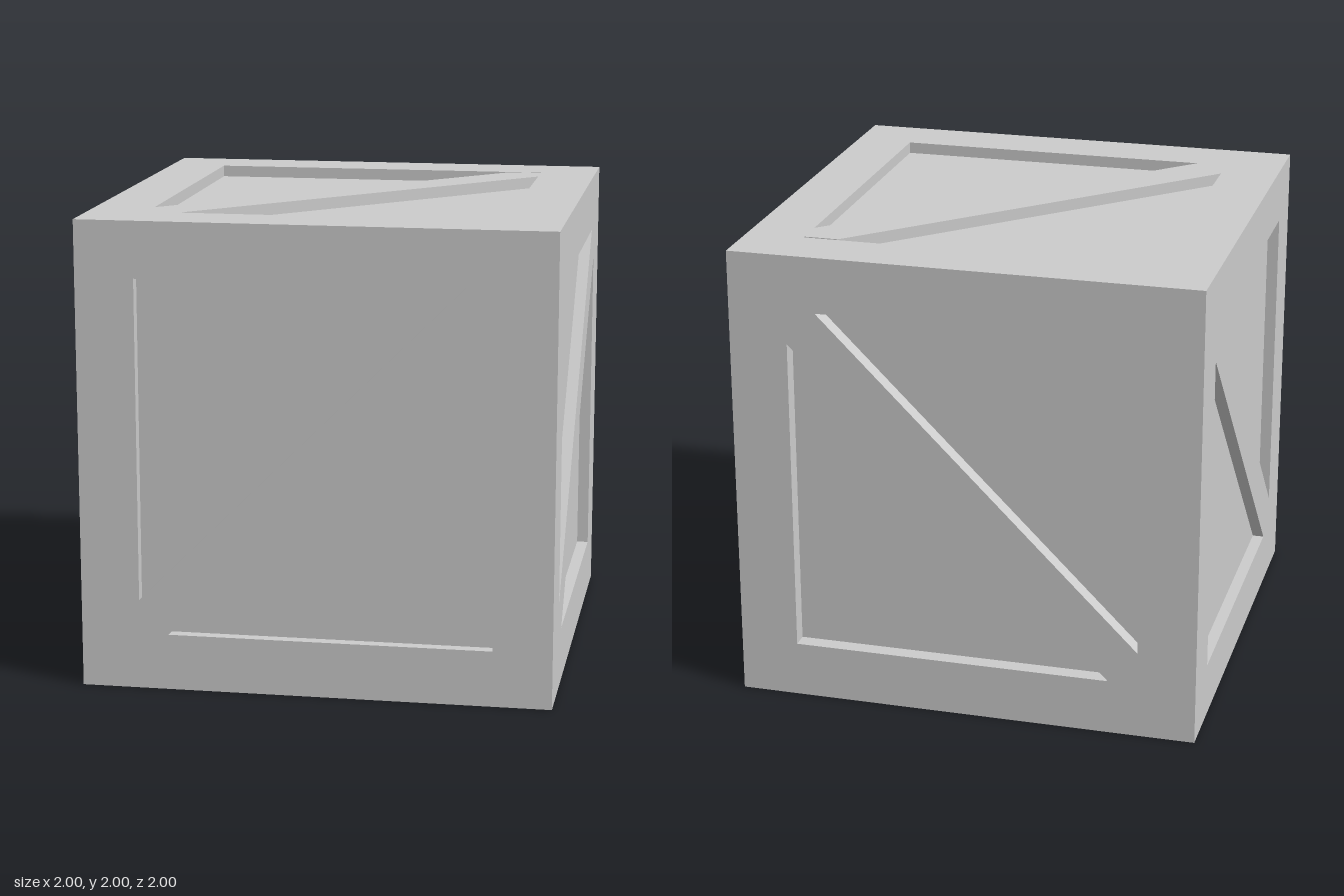
import * as THREE from 'three';

const material = new THREE.MeshStandardMaterial({ color: 0xcccccc, flatShading: true });

// Each side of the crate: rotation, recess depth, brace direction (1 rises to the right), half height of the opening
const SIDES = [
  { name: 'front', rot: [0, 0, 0], depth: 0.05, lean: 1, half: 0.76 },
  { name: 'left', rot: [0, Math.PI / 2, 0], depth: 0.05, lean: 1, half: 0.76 },
  { name: 'back', rot: [0, Math.PI, 0], depth: 0.07, lean: -1, half: 0.76 },
  { name: 'right', rot: [0, -Math.PI / 2, 0], depth: 0.05, lean: -1, half: 0.76 },
  { name: 'top', rot: [-Math.PI / 2, 0, 0], depth: 0.05, lean: 1, half: 0.75, gap: 0.01 },
  { name: 'bottom', rot: [Math.PI / 2, 0, 0], depth: 0.035, lean: -1, half: 0.75 },
];

function polygon(points, lean, Type) {
  return new Type(points.map(([u, v]) => new THREE.Vector2(u * lean, v)));
}

// Square frame with a diagonal brace, cut as two triangular openings
function braceFrame({ depth, lean, half, gap = 0 }) {
  const a = 0.75, b = half, o = 0.135;
  const upper = [[-a, b], [b - gap - o, b - gap], [-a, o - a]];
  if (gap) upper.splice(1, 0, [a, b], [a, b - gap]); // the brace stops just short of the frame
  const lower = [[a, -b], [a, a - o], [o - b, -b]];

  const shape = polygon([[-1, -1], [1, -1], [1, 1], [-1, 1]], 1, THREE.Shape);
  shape.holes.push(polygon(upper, lean, THREE.Path), polygon(lower, lean, THREE.Path));
  const geometry = new THREE.ExtrudeGeometry(shape, { depth, bevelEnabled: false });
  return geometry.translate(0, 0, 1 - depth);
}

export function createModel() {
  const crate = new THREE.Group();
  crate.name = 'crate';

  const depthOf = Object.fromEntries(SIDES.map((s) => [s.name, s.depth]));

  // Inner box whose faces are the recessed panels
  const min = new THREE.Vector3(depthOf.right - 1, depthOf.bottom, depthOf.back - 1);
  const max = new THREE.Vector3(1 - depthOf.left, 2 - depthOf.top, 1 - depthOf.front);
  const size = max.clone().sub(min);
  const panels = new THREE.Mesh(new THREE.BoxGeometry(size.x, size.y, size.z), material);
  panels.position.copy(min).add(max).multiplyScalar(0.5);
  panels.name = 'recessedPanels';
  crate.add(panels);

  // Braced frames on all six sides
  for (const side of SIDES) {
    const frame = new THREE.Mesh(braceFrame(side), material);
    frame.rotation.set(...side.rot);
    frame.position.y = 1;
    frame.name = `${side.name}Frame`;
    crate.add(frame);
  }
  return crate;
}
